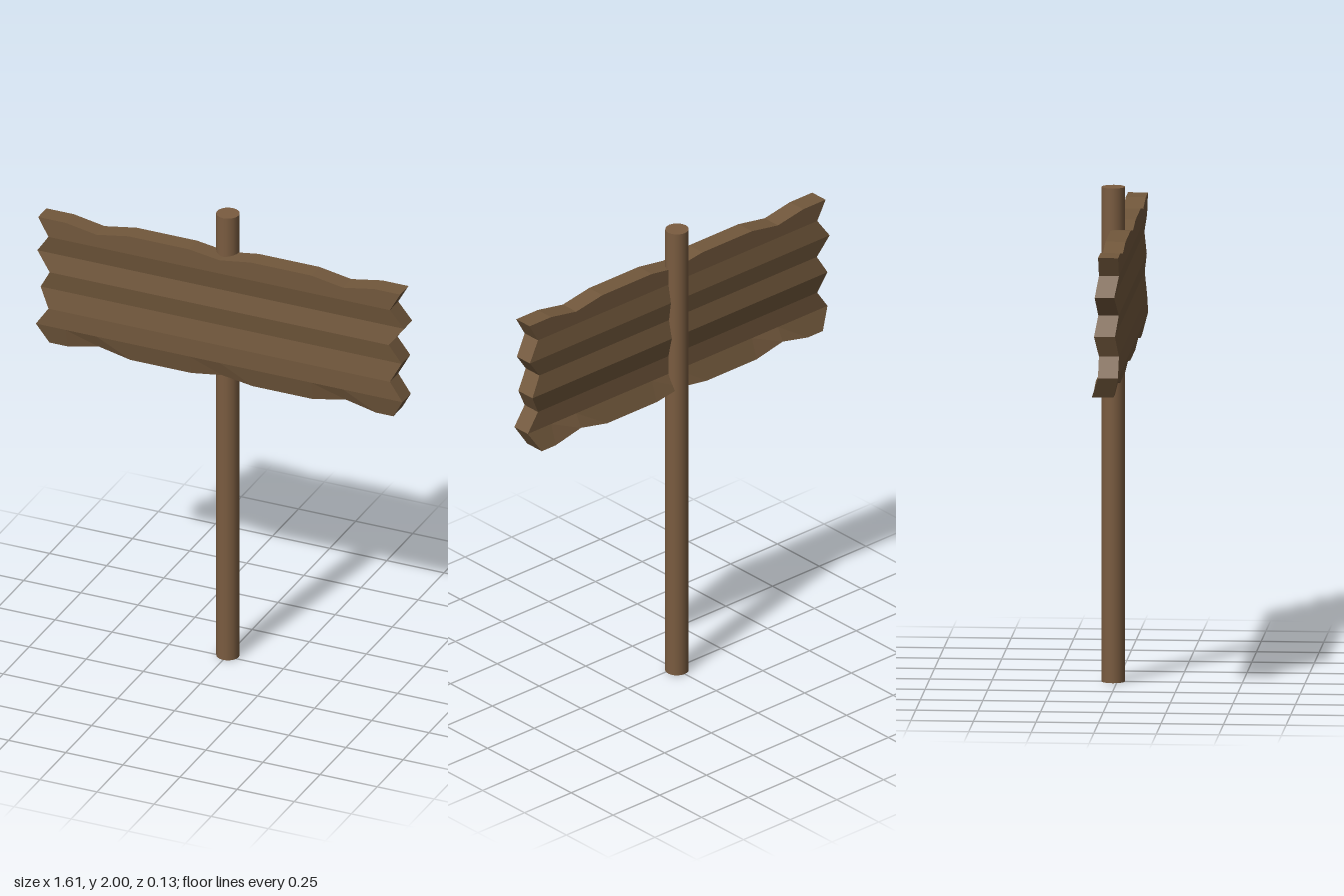
import * as THREE from 'three';

// Board rows, top to bottom: y, left-hand end x, right-hand end x, front z, back z
const ROWS = [
  [1.845, -0.795, 0.79, 0.063, -0.017],
  [1.765, -0.75, 0.745, 0.063, -0.017],
  [1.685, -0.805, 0.8, 0.048, -0.03],
  [1.605, -0.745, 0.74, 0.062, -0.02],
  [1.525, -0.79, 0.79, 0.05, -0.034],
  [1.44, -0.75, 0.745, 0.063, -0.017],
  [1.36, -0.805, 0.8, 0.063, -0.017],
  [1.275, -0.755, 0.75, 0.042, -0.045],
];

// Inner columns: x, dip of the top edge, rise of the bottom edge
const half = [[0.675, 0, 0], [0.54, 0.024, 0.03], [0.4, 0, 0], [0.135, 0, 0]];
const COLUMNS = [
  ...half.map(([x, dip, rise]) => [-x, dip, rise]),
  [0, 0.02, 0.02],
  ...half.slice().reverse(),
];

function boardGeometry() {
  const last = ROWS.length - 1;
  const size = ROWS.length * 2;
  const positions = [];
  const indices = [];

  // One closed cross-section per column: down the front, up the back
  const addSection = (xOf, dip, rise) => {
    const yOf = (i) => ROWS[i][0] - (i === 0 ? dip : 0) + (i === last ? rise : 0);
    for (let i = 0; i <= last; i++) positions.push(xOf(ROWS[i]), yOf(i), ROWS[i][3]);
    for (let i = last; i >= 0; i--) positions.push(xOf(ROWS[i]), yOf(i), ROWS[i][4]);
  };
  addSection((row) => row[1], 0, 0);
  for (const [x, dip, rise] of COLUMNS) addSection(() => x, dip, rise);
  addSection((row) => row[2], 0, 0);

  // Skin between neighbouring sections
  const sections = COLUMNS.length + 2;
  for (let s = 0; s < sections - 1; s++) {
    for (let i = 0; i < size; i++) {
      const a = s * size + i;
      const b = s * size + ((i + 1) % size);
      indices.push(a, b, b + size, a, b + size, a + size);
    }
  }

  // Jagged ends
  const end = (sections - 1) * size;
  for (let i = 0; i < last; i++) {
    const j = size - 1 - i;
    indices.push(i, j, j - 1, i, j - 1, i + 1);
    indices.push(end + i, end + i + 1, end + j - 1, end + i, end + j - 1, end + j);
  }

  const geometry = new THREE.BufferGeometry();
  geometry.setAttribute('position', new THREE.Float32BufferAttribute(positions, 3));
  geometry.setIndex(indices);
  const flat = geometry.toNonIndexed();
  flat.computeVertexNormals();
  return flat;
}

export function createModel() {
  const group = new THREE.Group();
  group.name = 'woodenSign';

  // Round post
  const post = new THREE.Mesh(
    new THREE.CylinderGeometry(0.047, 0.047, 2, 20),
    new THREE.MeshStandardMaterial({ color: 0x7a5c40 })
  );
  post.name = 'post';
  post.position.set(0, 1, -0.016);
  group.add(post);

  // Weathered board
  const board = new THREE.Mesh(
    boardGeometry(),
    new THREE.MeshStandardMaterial({ color: 0x72583c, flatShading: true })
  );
  board.name = 'board';
  group.add(board);

  return group;
}
